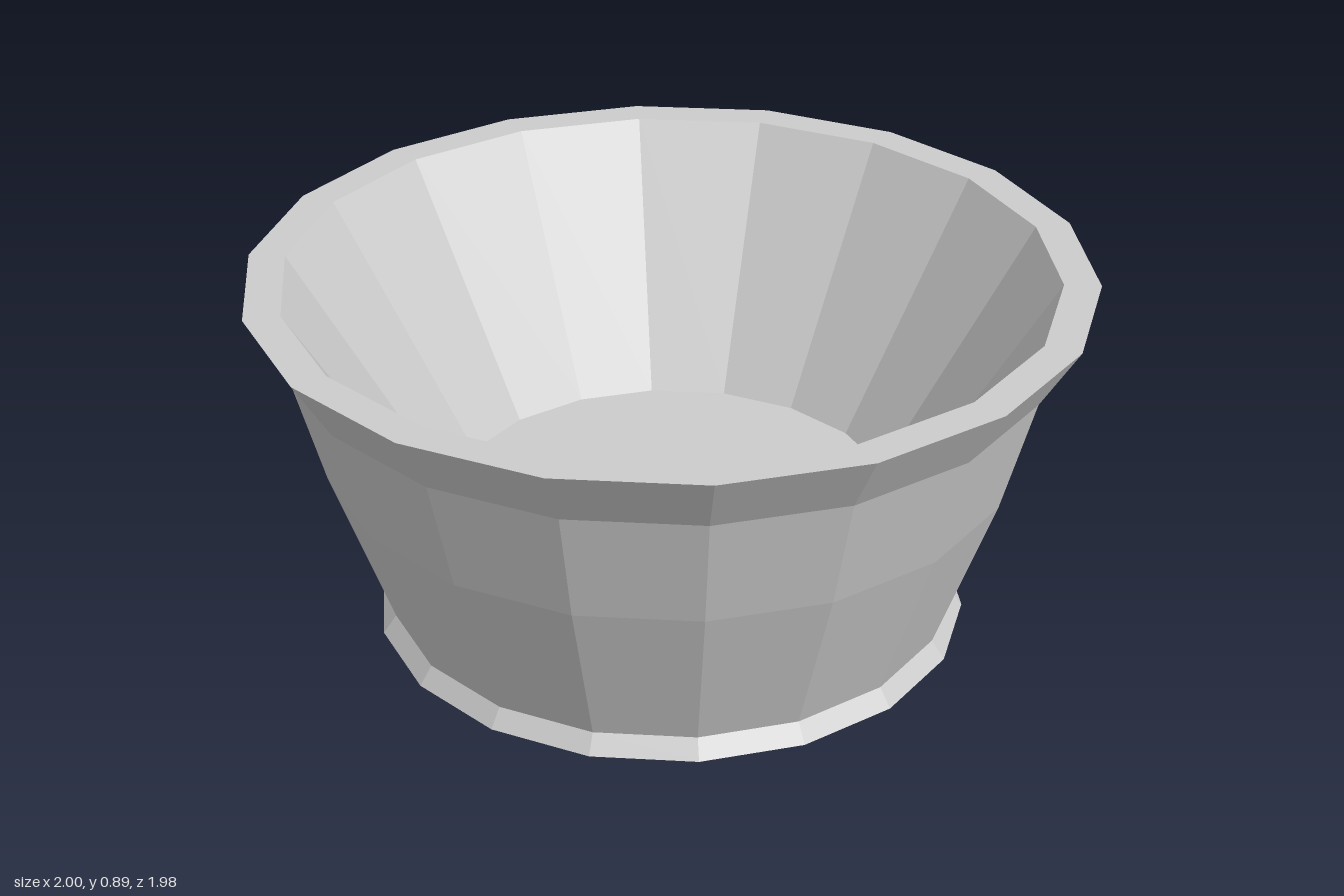
import * as THREE from 'three';

const SIDES = 18;
const START = THREE.MathUtils.degToRad(8.15); // slight turn of the facets

export function createModel() {
  const model = new THREE.Group();
  model.name = 'bowl';

  const grey = new THREE.MeshStandardMaterial({ color: 0xcccccc, flatShading: true });
  grey.name = 'light grey';

  // Faceted ring or disc swept from a profile of [radius, height] pairs
  const addPart = (name, profile) => {
    const points = profile.map(([r, y]) => new THREE.Vector2(r, y));
    const mesh = new THREE.Mesh(new THREE.LatheGeometry(points, SIDES, START), grey);
    mesh.name = name;
    model.add(mesh);
  };

  addPart('underside', [[0, 0], [0.722, 0]]);
  addPart('foot', [[0.722, 0], [0.69, 0.045]]);
  addPart('outerWall', [[0.69, 0.045], [0.832, 0.45], [0.909, 0.737]]);
  addPart('flaredLip', [[0.909, 0.737], [1, 0.887]]);
  addPart('rim', [[1, 0.887], [0.913, 0.887]]);
  addPart('innerWall', [[0.913, 0.887], [0.545, 0.275]]);
  addPart('floor', [[0.545, 0.275], [0, 0.275]]);

  return model;
}
